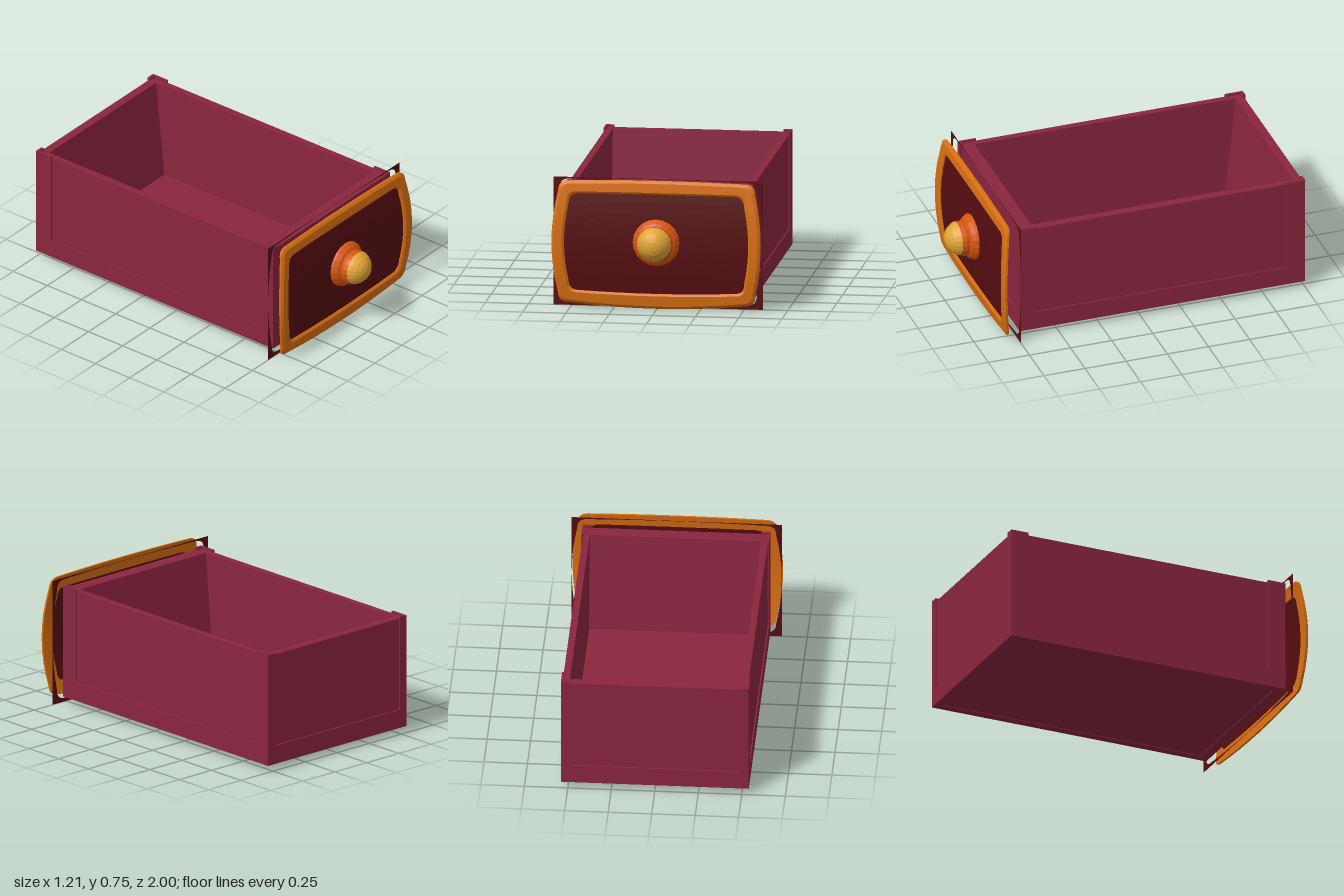
import * as THREE from 'three';

const mat = (name, color, extra = {}) => {
  const m = new THREE.MeshStandardMaterial({ color, ...extra });
  m.name = name;
  return m;
};

// Closed outline with bowed edges and rounded corners, always the same point count
function outline({ xm, xc, top, topC, bottom, bottomC, r }) {
  const s = new THREE.Shape(), e = xc - r, mid = (topC + bottomC) / 2, bow = 2 * xm - xc;
  s.moveTo(-e, bottomC);
  s.quadraticCurveTo(0, 2 * bottom - bottomC, e, bottomC);
  s.quadraticCurveTo(xc, bottomC, xc, bottomC + r);
  s.quadraticCurveTo(bow, mid, xc, topC - r);
  s.quadraticCurveTo(xc, topC, e, topC);
  s.quadraticCurveTo(0, 2 * top - topC, -e, topC);
  s.quadraticCurveTo(-xc, topC, -xc, topC - r);
  s.quadraticCurveTo(-bow, mid, -xc, bottomC + r);
  s.quadraticCurveTo(-xc, bottomC, -e, bottomC);
  return s.getPoints(8).slice(0, -1);
}

// Joins successive loops of points into a faceted skin
function loft(loops, close = false) {
  const n = loops[0].length, pos = [], idx = [];
  loops.forEach(l => l.forEach(p => pos.push(p.x, p.y, p.z)));
  const rows = close ? loops.length : loops.length - 1;
  for (let i = 0; i < rows; i++) {
    const k = (i + 1) % loops.length;
    for (let j = 0; j < n; j++) {
      const h = (j + 1) % n;
      const a = i * n + j, b = i * n + h, c = k * n + h, d = k * n + j;
      idx.push(a, b, c, a, c, d);
    }
  }
  const g = new THREE.BufferGeometry();
  g.setAttribute('position', new THREE.Float32BufferAttribute(pos, 3));
  g.setIndex(idx);
  const flat = g.toNonIndexed();
  flat.computeVertexNormals();
  return flat;
}

export function createModel() {
  const model = new THREE.Group();
  model.name = 'drawer';
  const wood = mat('plum wood', 0x8a253f);
  const dark = mat('dark red', 0x560d10, { side: THREE.DoubleSide });
  const orange = mat('orange trim', 0xd86f12);
  const ember = mat('deep orange', 0xd4560f);
  const gold = mat('gold', 0xe2a537);

  const add = (parent, name, geo, material, x = 0, y = 0, z = 0) => {
    const m = new THREE.Mesh(geo, material);
    m.name = name;
    m.position.set(x, y, z);
    parent.add(m);
    return m;
  };

  // Drawer box
  const box = new THREE.Group();
  box.name = 'drawerBox';
  model.add(box);
  const back = -1, front = 0.735, mid = (back + front) / 2, length = front - back;
  add(box, 'floor', new THREE.BoxGeometry(1.06, 0.055, length - 0.02), wood, 0, 0.0725, mid);
  for (const s of [-1, 1]) {
    add(box, 'sideWall', new THREE.BoxGeometry(0.04, 0.65, length - 0.02), wood, s * 0.512, 0.372, mid);
  }

  // End walls, leaning inward towards the floor
  const endWall = (name, outer, innerTop, innerBottom) => {
    const s = new THREE.Shape([
      [outer, 0.05], [innerBottom, 0.05], [innerBottom, 0.1], [innerTop, 0.697], [outer, 0.697],
    ].map(p => new THREE.Vector2(...p)));
    const g = new THREE.ExtrudeGeometry(s, { depth: 0.99, bevelEnabled: false });
    g.translate(0, 0, -0.495).rotateY(-Math.PI / 2);
    add(box, name, g, wood);
  };
  endWall('backWall', back + 0.01, -0.94, -0.88);
  endWall('frontWall', front - 0.01, 0.645, 0.59);

  // Raised U-shaped frames with posts standing above the walls
  const frame = (w, post, depth) => {
    const s = new THREE.Shape([
      [-w, 0.04], [w, 0.04], [w, 0.71], [w - post, 0.71], [w - post, 0.15],
      [post - w, 0.15], [post - w, 0.71], [-w, 0.71],
    ].map(p => new THREE.Vector2(...p)));
    return new THREE.ExtrudeGeometry(s, { depth, bevelEnabled: false });
  };
  for (const s of [-1, 1]) {
    const side = add(box, 'sideFrame', frame(length / 2, 0.11, 0.014), wood, s * 0.526, 0, mid);
    side.rotation.y = s * Math.PI / 2;
    const end = add(box, 'endFrame', frame(0.54, 0.05, 0.02), wood, 0, 0, s > 0 ? front - 0.02 : back + 0.02);
    end.rotation.y = s > 0 ? 0 : Math.PI;
  }

  // Border around the underside
  for (const s of [-1, 1]) {
    add(box, 'bottomRail', new THREE.BoxGeometry(0.05, 0.01, length), wood, s * 0.515, 0.045, mid);
    add(box, 'bottomCrossRail', new THREE.BoxGeometry(0.98, 0.01, 0.06), wood, 0, 0.045, mid + s * (length / 2 - 0.03));
  }

  // Front face, bulging along its height
  const face = new THREE.Group();
  face.name = 'drawerFront';
  model.add(face);
  const bend = y => 0.812 + 0.034 * (1 - ((y - 0.375) / 0.375) ** 2);
  const ring = (pts, dz) => pts.map(p => new THREE.Vector3(p.x, p.y, bend(p.y) + dz));
  const rim = { xm: 0.605, xc: 0.57, top: 0.748, topC: 0.74, bottom: 0.002, bottomC: 0.03, r: 0.06 };
  const hole = { xm: 0.533, xc: 0.508, top: 0.67, topC: 0.668, bottom: 0.09, bottomC: 0.102, r: 0.06 };
  const inset = (o, d) => ({ ...o, xm: o.xm - d, xc: o.xc - d, top: o.top - d, topC: o.topC - d, bottom: o.bottom + d, bottomC: o.bottomC + d });
  const outer = outline(rim), inner = outline(hole);
  add(face, 'frontTrim', loft([
    ring(outer, -0.014), ring(outer, -0.002), ring(outline(inset(rim, 0.015)), 0.008),
    ring(outline(inset(hole, -0.012)), 0.006), ring(inner, -0.004), ring(inner, -0.014),
  ], true), orange);

  // Panel inside the trim
  const seat = outline(inset(hole, -0.01));
  add(face, 'frontPanel', loft([1, 0.8, 0.6, 0.4, 0.2, 0].map(k =>
    ring(seat.map(p => new THREE.Vector2(p.x * k, 0.382 + (p.y - 0.382) * k)), -0.01))), dark);

  // Thin corner pieces behind the trim
  const plate = new THREE.Shape([[-0.606, 0], [0.606, 0], [0.606, 0.748], [-0.606, 0.748]].map(p => new THREE.Vector2(...p)));
  plate.holes.push(new THREE.Path(outline({
    xm: 0.604, xc: 0.572, top: 0.746, topC: 0.738, bottom: 0.002, bottomC: 0.022, r: 0.06,
  }).reverse()));
  add(face, 'cornerPlate', new THREE.ShapeGeometry(plate), dark, 0, 0, 0.75);

  // Knob, turned about the z axis
  const turned = pts => {
    const g = new THREE.LatheGeometry(pts.map(p => new THREE.Vector2(...p)), 20).rotateX(Math.PI / 2).toNonIndexed();
    g.computeVertexNormals();
    return g;
  };
  add(face, 'knobBase', turned([
    [0, 0.825], [0.115, 0.825], [0.136, 0.835], [0.134, 0.85], [0.118, 0.872], [0.102, 0.882], [0.104, 0.9], [0.1, 0.925],
  ]), ember, 0, 0.393);
  add(face, 'knobCap', turned([
    [0.1, 0.925], [0.092, 0.945], [0.076, 0.968], [0.052, 0.987], [0.026, 0.997], [0, 1],
  ]), gold, 0, 0.398);
  return model;
}
